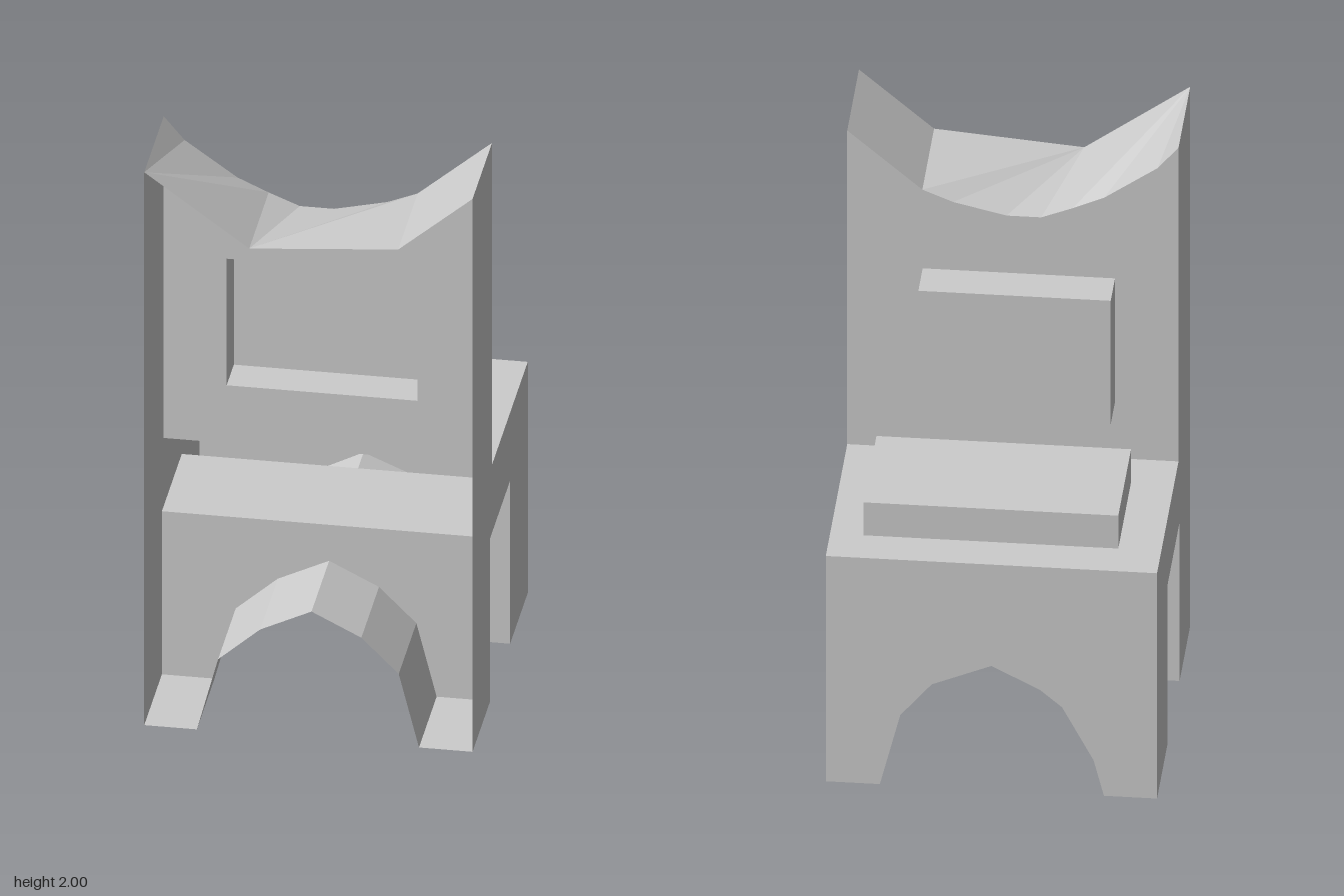
import * as THREE from 'three';

// Main dimensions
const W = 0.527, D = 0.527, TOP = 2, SEAT = 0.836, UNDER = 0.59, LEG = 0.19, BACK = 0.155;

const grey = new THREE.MeshStandardMaterial({ color: 0xcccccc, side: THREE.DoubleSide, flatShading: true });
grey.name = 'plain grey';

const vectors = (pts) => pts.map(([u, v]) => new THREE.Vector2(u, v));
const rect = (u0, v0, u1, v1) => [[u0, v0], [u1, v0], [u1, v1], [u0, v1]];

// Planes: each maps flat (u, v) coordinates into space
const atZ = (z) => (u, v) => [u, v, z];
const atY = (y) => (u, v) => [u, y, v];
const atX = (x) => (u, v) => [x, v, u];

export function createModel() {
  const model = new THREE.Group();
  model.name = 'chair';

  function add(name, geometry) {
    geometry.computeVertexNormals();
    const mesh = new THREE.Mesh(geometry, grey);
    mesh.name = name;
    model.add(mesh);
  }

  // Flat panel with an optional opening
  function sheet(name, outline, place, flip = false, hole = null) {
    const shape = new THREE.Shape(vectors(outline));
    if (hole) shape.holes.push(new THREE.Path(vectors(hole)));
    const g = new THREE.ShapeGeometry(shape).toNonIndexed();
    const p = g.attributes.position;
    const pts = [];
    for (let i = 0; i < p.count; i += 3) {
      for (const k of flip ? [0, 2, 1] : [0, 1, 2]) pts.push(...place(p.getX(i + k), p.getY(i + k)));
    }
    triangles(name, pts);
  }

  function triangles(name, coords) {
    const g = new THREE.BufferGeometry();
    g.setAttribute('position', new THREE.Float32BufferAttribute(coords, 3));
    add(name, g);
  }

  // Strip of quads joining the same line placed on two planes
  function strip(name, line, placeA, placeB, closed = false) {
    const out = [];
    const n = line.length;
    for (let i = 0; i < (closed ? n : n - 1); i++) {
      const p = line[i], q = line[(i + 1) % n];
      const a = placeA(...p), b = placeA(...q), c = placeB(...q), d = placeB(...p);
      out.push(...a, ...b, ...c, ...a, ...c, ...d);
    }
    triangles(name, out);
  }

  // Sides: one outline for chair back, seat and both legs
  const side = [[D, 0], [D, TOP], [BACK, TOP], [BACK, SEAT], [-D, SEAT], [-D, 0],
    [-LEG, 0], [-LEG, UNDER], [LEG, UNDER], [LEG, 0]];
  for (const s of [-1, 1]) sheet(s > 0 ? 'leftSide' : 'rightSide', side, atX(s * W), s > 0);

  // Arched leg pairs
  const frontArch = [[-0.358, 0], [-0.325, 0.13], [-0.225, 0.32], [-0.155, 0.38], [0, 0.46],
    [0.19, 0.38], [0.29, 0.26], [0.355, 0]];
  const backArch = [[-0.358, 0], [-0.29, 0.26], [-0.155, 0.38], [0.01, 0.46],
    [0.17, 0.38], [0.29, 0.26], [0.355, 0]];
  const wall = (arch, top) => [[-W, 0], ...arch, [W, 0], [W, top], [-W, top]];
  sheet('frontPanel', wall(frontArch, SEAT), atZ(-D), true);
  sheet('frontLegInnerWall', wall(frontArch, UNDER), atZ(-LEG));
  sheet('backLegInnerWall', wall(backArch, UNDER), atZ(LEG), true);
  strip('frontArch', frontArch, atZ(-D), atZ(-LEG));
  strip('backArch', backArch, atZ(LEG), atZ(D));
  for (const [z0, z1] of [[-D, -LEG], [LEG, D]]) {
    sheet('footRight', rect(-W, z0, -0.358, z1), atY(0));
    sheet('footLeft', rect(0.355, z0, W, z1), atY(0));
  }

  // Seat with raised hollow cushion
  const seatPad = rect(-0.39, -0.39, 0.42, 0.015);
  sheet('seatUnderside', rect(-W, -LEG, W, LEG), atY(UNDER));
  sheet('seatTop', rect(-W, -D, W, BACK), atY(SEAT), true, seatPad);
  sheet('seatCushionTop', seatPad, atY(0.958), true);
  strip('seatCushionRim', seatPad, atY(0.958), atY(SEAT), true);

  // Backrest with raised hollow cushion; its rear stays open
  const crest = [[-W, TOP], [-0.46, 1.92], [-0.29, 1.8], [-0.19, 1.755], [-0.09, 1.715],
    [0.02, 1.715], [0.19, 1.755], [0.288, 1.795], [W, TOP]];
  const backPad = rect(-0.325, 1.045, 0.287, 1.503);
  sheet('backrest', [[-W, SEAT], [W, SEAT], ...[...crest].reverse()], atZ(BACK), true, backPad);
  sheet('backCushionFace', backPad, atZ(0.018), true);
  strip('backCushionRim', backPad, atZ(0.018), atZ(BACK), true);

  // Dipped top: fans from a coarse rear line to the finer front line
  const P = crest.map((p) => atZ(BACK)(...p));
  const [A, B, C, E] = [[-W, TOP], [-0.19, 1.755], [0.288, 1.795], [W, TOP]].map((p) => atZ(D)(...p));
  const top = [];
  const fan = (hub, from, to) => {
    for (let i = from; i < to; i++) top.push(...hub, ...P[i + 1], ...P[i]);
  };
  fan(A, 0, 3);
  top.push(...A, ...B, ...P[3]);
  fan(B, 3, 7);
  top.push(...B, ...C, ...P[7]);
  fan(C, 7, 8);
  top.push(...C, ...E, ...P[8]);
  triangles('backrestTop', top);

  return model;
}
